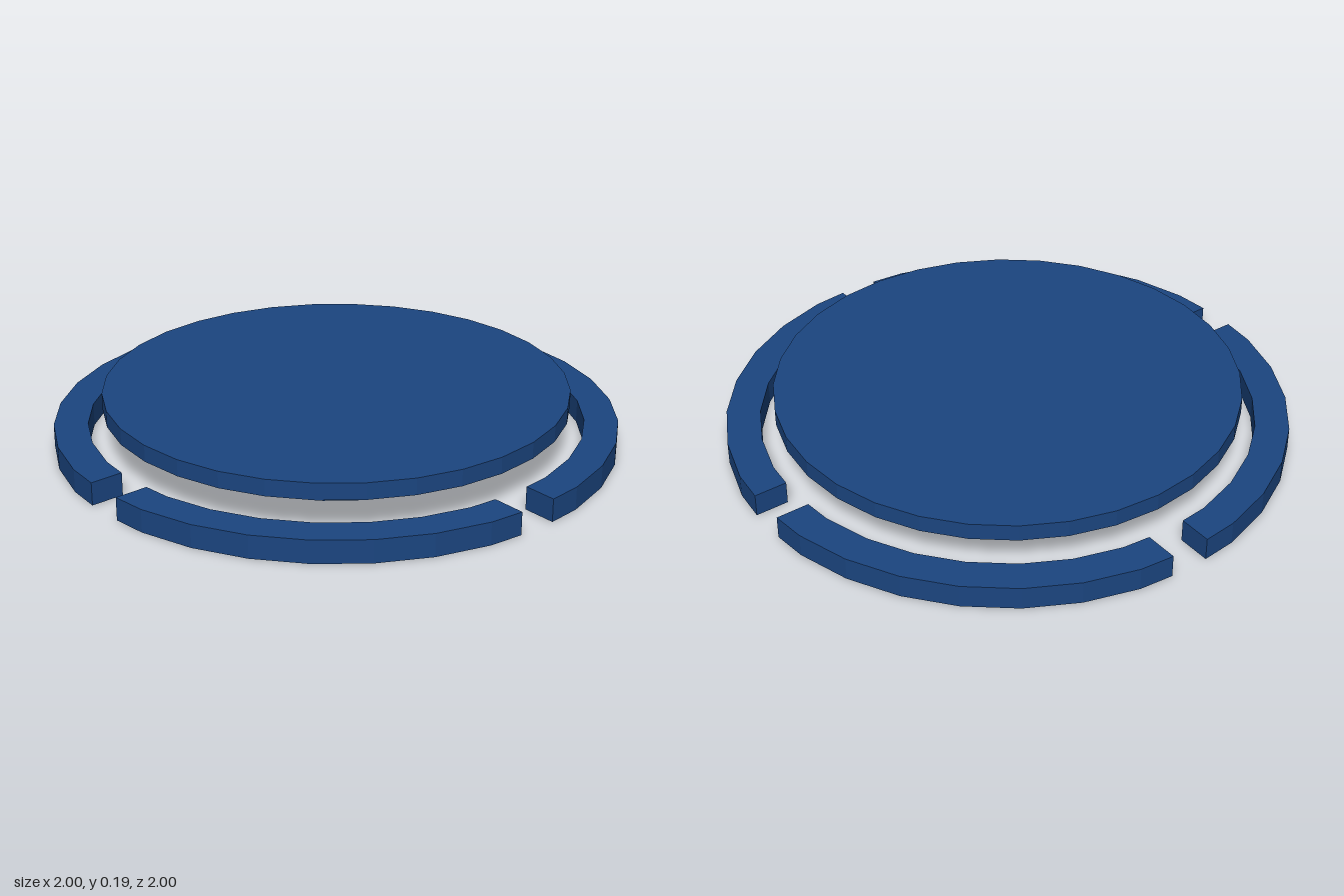
import * as THREE from 'three';

const SIDES = 32;
const STEP = (Math.PI * 2) / SIDES;
const GAP = 0.072; // half the width of the slots between ring sections

// Faceted arc filling one quadrant, ending flat on both slots
function arcPoints(radius) {
  const end = radius - GAP * Math.tan(STEP / 2);
  const points = [new THREE.Vector2(end, GAP)];
  for (let i = 1; i < SIDES / 4; i++) {
    points.push(new THREE.Vector2(radius * Math.cos(i * STEP), radius * Math.sin(i * STEP)));
  }
  points.push(new THREE.Vector2(GAP, end));
  return points;
}

export function createModel() {
  const model = new THREE.Group();
  model.name = 'discWithSplitRing';
  const material = new THREE.MeshStandardMaterial({ color: 0x1b4580, flatShading: true });

  // Round plate on a narrower hub, with a shallow conical underside
  const profile = [
    [0, 0], [0.56, 0], [0.56, 0.11], [0.833, 0.135], [0.833, 0.195], [0, 0.195],
  ].map(([r, y]) => new THREE.Vector2(r, y));
  const plate = new THREE.Mesh(new THREE.LatheGeometry(profile, SIDES), material);
  plate.name = 'plateAndHub';
  model.add(plate);

  // Four separate ring sections around the plate
  const shape = new THREE.Shape([...arcPoints(1.007), ...arcPoints(0.886).reverse()]);
  const section = new THREE.ExtrudeGeometry(shape, { depth: 0.083, bevelEnabled: false });
  section.rotateX(-Math.PI / 2);
  const ring = new THREE.Group();
  ring.name = 'splitRing';
  for (let i = 0; i < 4; i++) {
    const mesh = new THREE.Mesh(section, material);
    mesh.name = `ringSection${i + 1}`;
    mesh.rotation.y = (i * Math.PI) / 2;
    ring.add(mesh);
  }
  model.add(ring);

  return model;
}
